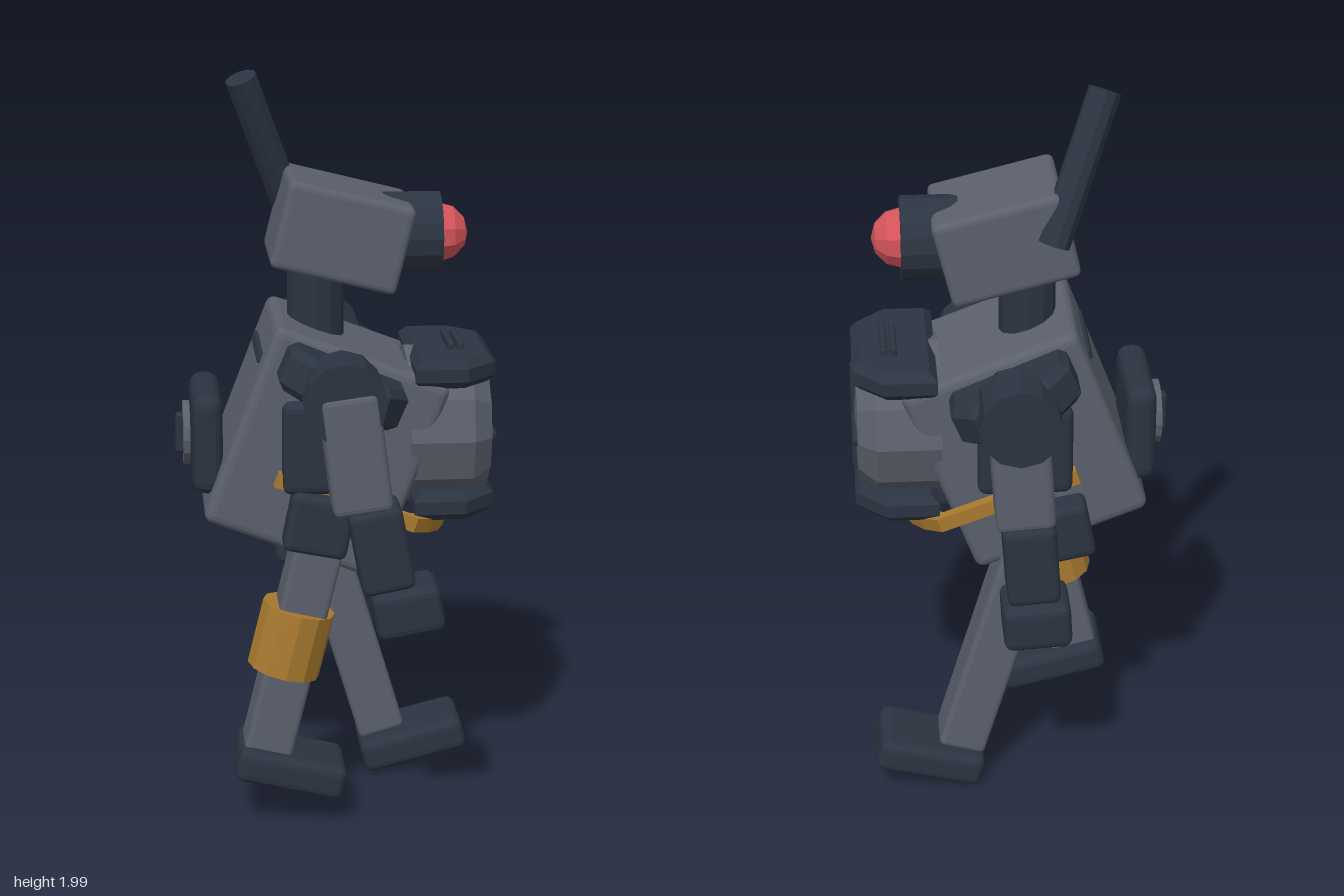
import * as THREE from 'three';
import { RoundedBoxGeometry } from 'three/addons/geometries/RoundedBoxGeometry.js';

const material = (name, color) => {
  const m = new THREE.MeshStandardMaterial({ color });
  m.name = name;
  m.flatShading = true;
  return m;
};

export function createModel() {
  const grey = material('grey armour', 0x5b606c);
  const dark = material('dark metal', 0x2b3441);
  const amber = material('amber', 0xa97a30);
  const red = material('red lens', 0xd4545a);
  const model = new THREE.Group();
  model.name = 'robot';

  const add = (name, geo, mat, [x, y, z], rz = 0, parent = model) => {
    const m = new THREE.Mesh(geo, mat);
    m.name = name;
    m.position.set(x, y, z);
    m.rotation.z = rz;
    parent.add(m);
    return m;
  };
  const box = (name, [w, h, d], mat, pos, rz = 0, r = 0.02, parent = model) =>
    add(name, new RoundedBoxGeometry(w, h, d, 2, r), mat, pos, rz, parent);
  // Plate with chamfered corners, lying flat
  const octagonPlate = (w, h, d, cut, bevel) => {
    const a = w / 2 - bevel, b = d / 2 - bevel;
    const s = new THREE.Shape([[-a, -b], [a - cut, -b], [a, -b + cut], [a, b - cut], [a - cut, b], [-a, b]]
      .map(p => new THREE.Vector2(...p)));
    const g = new THREE.ExtrudeGeometry(s, {
      depth: h - 2 * bevel, bevelThickness: bevel, bevelSize: bevel, bevelSegments: 1 });
    return g.rotateX(-Math.PI / 2).translate(0, -h / 2 + bevel, 0);
  };

  // Leaning torso with a slot on its back
  const torso = new THREE.Group();
  torso.name = 'torso';
  torso.position.set(-0.035, 1.03, -0.005);
  torso.rotation.z = -0.367;
  model.add(torso);
  box('torsoBody', [0.49, 0.56, 0.41], grey, [0, 0, 0], 0, 0.025, torso);
  box('backSlot', [0.016, 0.03, 0.25], dark, [-0.246, 0.17, 0], 0, 0.007, torso);

  // Chest drum between two dark slabs
  const drum = new THREE.LatheGeometry([[0, -0.15], [0.215, -0.15], [0.215, 0.02], [0.17, 0.07], [0, 0.078]]
    .map(p => new THREE.Vector2(...p)), 12).rotateZ(-Math.PI / 2);
  add('chestDrum', drum, grey, [0.335, 1.06, -0.005]);
  for (const [name, y] of [['upperChestSlab', 1.24], ['lowerChestSlab', 0.88]]) {
    add(name, octagonPlate(0.22, 0.075, 0.43, 0.07, 0.02), dark, [0.305, y, -0.008]);
  }
  box('crossBar', [0.03, 0.03, 0.32], dark, [0.405, 1.06, -0.005], 0, 0.012);
  box('crossPost', [0.03, 0.32, 0.03], dark, [0.405, 1.06, -0.005], 0, 0.012);
  for (const x of [0.305, 0.33]) box('slabVent', [0.018, 0.03, 0.17], dark, [x, 1.282, -0.012], 0, 0.006);

  // Back pack with a small hand wheel
  box('backPack', [0.08, 0.27, 0.31], dark, [-0.345, 1.045, -0.008], 0, 0.035);
  add('wheelDisc', new THREE.CylinderGeometry(0.086, 0.086, 0.018, 14).rotateZ(Math.PI / 2),
    grey, [-0.398, 1.045, -0.008]);
  box('wheelBar', [0.03, 0.11, 0.032], dark, [-0.412, 1.045, -0.008], 0, 0.01);

  // Side hatches
  for (const s of [1, -1]) {
    box('sideHatch', [0.25, 0.25, 0.06], dark, [-0.03, 1.06, -0.005 + s * 0.225], 0, 0.025);
  }

  // Tilted half belt around the front
  const belt = new THREE.Shape();
  belt.moveTo(-0.25, -0.235);
  belt.lineTo(0.14, -0.235);
  belt.quadraticCurveTo(0.25, -0.15, 0.25, 0);
  belt.quadraticCurveTo(0.25, 0.15, 0.14, 0.235);
  belt.lineTo(-0.25, 0.235);
  belt.lineTo(-0.25, 0.205);
  belt.lineTo(0.12, 0.205);
  belt.quadraticCurveTo(0.22, 0.13, 0.22, 0);
  belt.quadraticCurveTo(0.22, -0.13, 0.12, -0.205);
  belt.lineTo(-0.25, -0.205);
  const beltGeo = new THREE.ExtrudeGeometry(belt, { depth: 0.04, bevelEnabled: false, curveSegments: 4 });
  add('belt', beltGeo.rotateX(-Math.PI / 2).translate(0, -0.02, 0), amber, [0.065, 0.89, -0.005], -0.35);

  // Neck, head, lens and antenna
  add('neck', new THREE.CylinderGeometry(0.075, 0.075, 0.24, 12), dark, [-0.05, 1.42, -0.013]);
  box('head', [0.34, 0.235, 0.3], grey, [0.013, 1.592, -0.02], -0.245, 0.018);
  add('lensHousing', new THREE.CylinderGeometry(0.11, 0.11, 0.15, 16).rotateZ(Math.PI / 2),
    dark, [0.205, 1.577, -0.02]);
  add('lens', new THREE.SphereGeometry(0.08, 10, 6).rotateZ(-Math.PI / 2), red, [0.275, 1.577, -0.015]);
  const tip = new THREE.Vector3(-0.24, 1.985, -0.065), root = new THREE.Vector3(-0.105, 1.61, -0.165);
  const antenna = add('antenna', new THREE.CylinderGeometry(0.043, 0.043, tip.distanceTo(root), 10),
    dark, tip.clone().add(root).multiplyScalar(0.5).toArray());
  antenna.quaternion.setFromUnitVectors(new THREE.Vector3(0, 1, 0), tip.clone().sub(root).normalize());

  // Arms: one swings forward, the other slightly back
  const arms = [
    { side: 'left', s: 1, z: 0.35, upper: [0.022, 1.09, 0.13], fore: [0.09, 0.83, 0.19], hand: [0.158, 0.665, 0.17] },
    { side: 'right', s: -1, z: -0.358, upper: [-0.01, 1.08, -0.07], fore: [-0.035, 0.81, -0.07], hand: [-0.05, 0.628, -0.06] },
  ];
  for (const { side, s, z, upper, fore, hand } of arms) {
    add(side + 'Shoulder', new THREE.CylinderGeometry(0.107, 0.107, 0.15, 12).rotateX(Math.PI / 2),
      dark, [-0.005, 1.225, z - s * 0.01 + (s > 0 ? 0 : -0.015)]);
    const pad = octagonPlate(0.17, 0.115, 0.33, 0.045, 0.02).rotateY(-s * Math.PI / 2);
    add(side + 'ShoulderPad', pad, dark, [0, 1.23, s * 0.272 - 0.008], -0.4);
    box(side + 'UpperArm', [0.155, 0.32, 0.14], grey, [upper[0], upper[1], z], upper[2]);
    box(side + 'Forearm', [0.14, 0.225, 0.14], dark, [fore[0], fore[1], z], fore[2]);
    box(side + 'Hand', [0.18, 0.128, 0.165], dark, [hand[0], hand[1], z + 0.003], hand[2], 0.025);
  }

  // Legs: the left one trails, the right one steps forward
  const legs = [
    { side: 'left', z: 0.185, top: [-0.05, 0.83], ankle: [-0.205, 0.19], foot: [-0.138, 0.165, -0.24], hip: [-0.06, 0.855, -0.2], hz: 0.2 },
    { side: 'right', z: -0.168, top: [-0.08, 0.88], ankle: [0.145, 0.12], foot: [0.23, 0.09, 0.25], hip: [-0.12, 0.82, -0.2], hz: -0.21 },
  ];
  for (const { side, z, top, ankle, foot, hip, hz } of legs) {
    const dx = ankle[0] - top[0], dy = top[1] - ankle[1];
    box(side + 'Leg', [0.13, Math.hypot(dx, dy), 0.14], grey,
      [(top[0] + ankle[0]) / 2, (top[1] + ankle[1]) / 2, z], Math.atan2(dx, dy), 0.015);
    box(side + 'Hip', [0.17, 0.16, 0.15], dark, [hip[0], hip[1], hz], hip[2]);
    box(side + 'Foot', [0.295, 0.092, 0.21], dark, [foot[0], foot[1], z + 0.005], foot[2], 0.025);
  }
  add('legBand', new THREE.CylinderGeometry(0.098, 0.098, 0.18, 12), amber, [-0.132, 0.525, 0.188], -0.24);

  return model;
}
